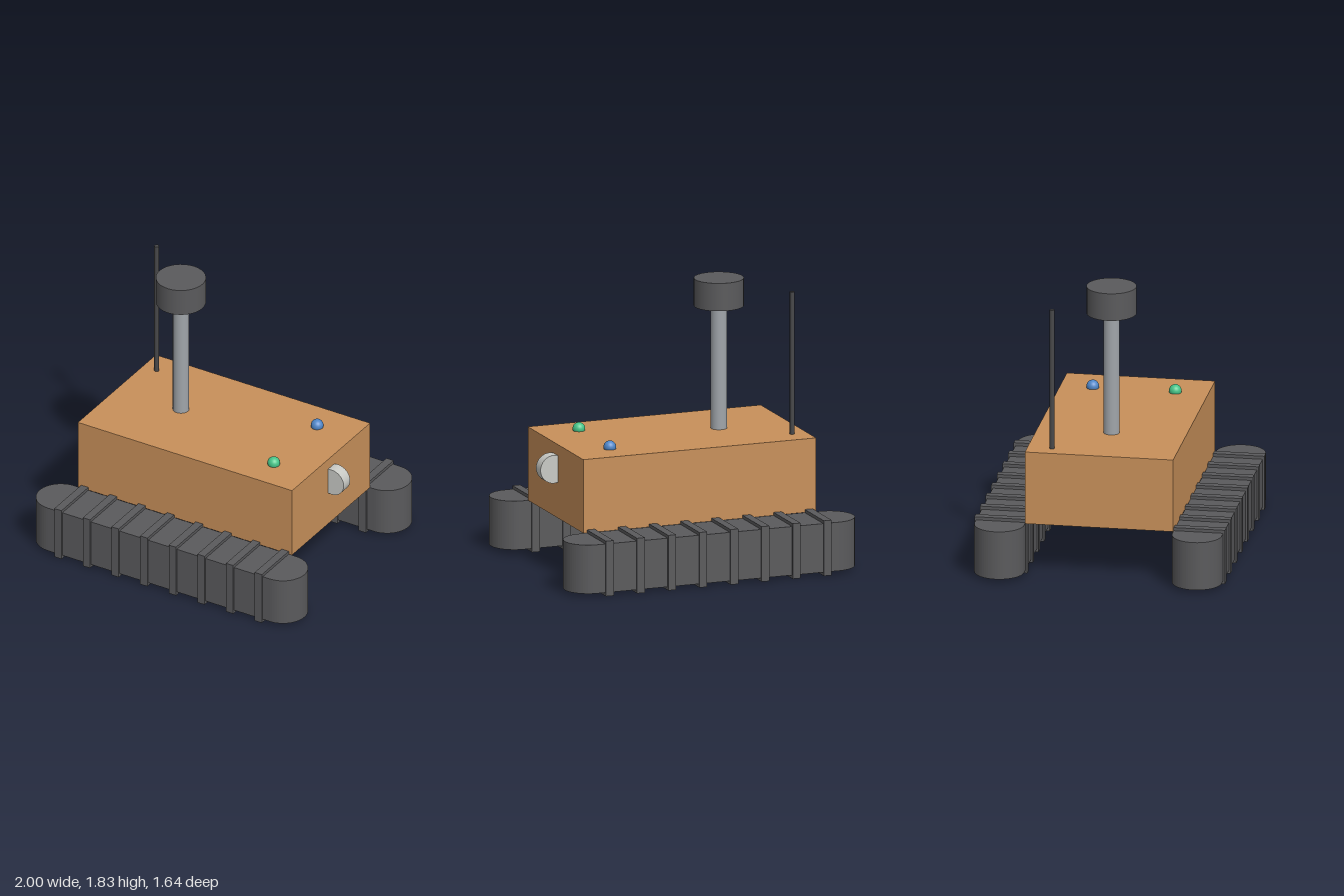
import * as THREE from 'three';

const mat = (name, color) => {
  const m = new THREE.MeshStandardMaterial({ color });
  m.name = name;
  return m;
};

export function createModel() {
  const orange = mat('orange body', 0xc8905a);
  const rubber = mat('dark rubber', 0x5a5a5c);
  const steel = mat('mast grey', 0xa0a5aa);
  const black = mat('antenna black', 0x48484a);
  const pale = mat('pale grey', 0xc9cac5);
  const green = mat('green lamp', 0x45c488);
  const blue = mat('blue lamp', 0x4f86c8);

  const model = new THREE.Group();
  model.name = 'trackedRover';

  const add = (parent, name, geometry, material, x, y, z) => {
    const mesh = new THREE.Mesh(geometry, material);
    mesh.name = name;
    mesh.position.set(x, y, z);
    parent.add(mesh);
    return mesh;
  };
  // upright cylinder between two heights
  const post = (name, r, y0, y1, material, x, z, sides) =>
    add(model, name, new THREE.CylinderGeometry(r, r, y1 - y0, sides), material, x, (y0 + y1) / 2, z);

  // hull
  add(model, 'body', new THREE.BoxGeometry(1.616, 0.488, 0.97), orange, 0, 0.59, 0);

  // tracks: slabs with rounded ends in plan, crossed by eight cleats
  const r = 0.162;
  const half = 1 - r;
  const outline = new THREE.Shape();
  outline.moveTo(-half, -r);
  outline.lineTo(half, -r);
  outline.absarc(half, 0, r, -Math.PI / 2, Math.PI / 2, false);
  outline.lineTo(-half, r);
  outline.absarc(-half, 0, r, Math.PI / 2, Math.PI * 1.5, false);
  const slab = new THREE.ExtrudeGeometry(outline, { depth: 0.323, bevelEnabled: false, curveSegments: 16 });
  slab.rotateX(-Math.PI / 2);
  const cleat = new THREE.BoxGeometry(0.054, 0.366, 0.346);

  for (const side of [1, -1]) {
    const track = new THREE.Group();
    track.name = side > 0 ? 'frontTrack' : 'backTrack';
    track.position.z = side * 0.647;
    add(track, 'trackBelt', slab, rubber, 0, 0.022, 0);
    for (let i = 0; i < 8; i++) add(track, 'cleat', cleat, rubber, (i - 3.5) * 0.216, 0.183, 0);
    model.add(track);
  }

  // sensor mast and antenna
  post('mast', 0.053, 0.82, 1.66, steel, -0.325, 0, 24);
  post('sensorHead', 0.162, 1.648, 1.832, rubber, -0.325, 0, 32);
  post('antenna', 0.016, 0.82, 1.778, black, -0.705, -0.325, 12);

  // disc set into the end of the hull
  add(model, 'endDisc', new THREE.CylinderGeometry(0.093, 0.093, 0.08, 32), pale, 0.835, 0.672, 0)
    .rotation.x = Math.PI / 2;

  // deck lamps
  const lamp = new THREE.SphereGeometry(0.041, 24, 16);
  add(model, 'greenLamp', lamp, green, 0.539, 0.847, 0.27);
  add(model, 'blueLamp', lamp, blue, 0.539, 0.847, -0.27);

  return model;
}
